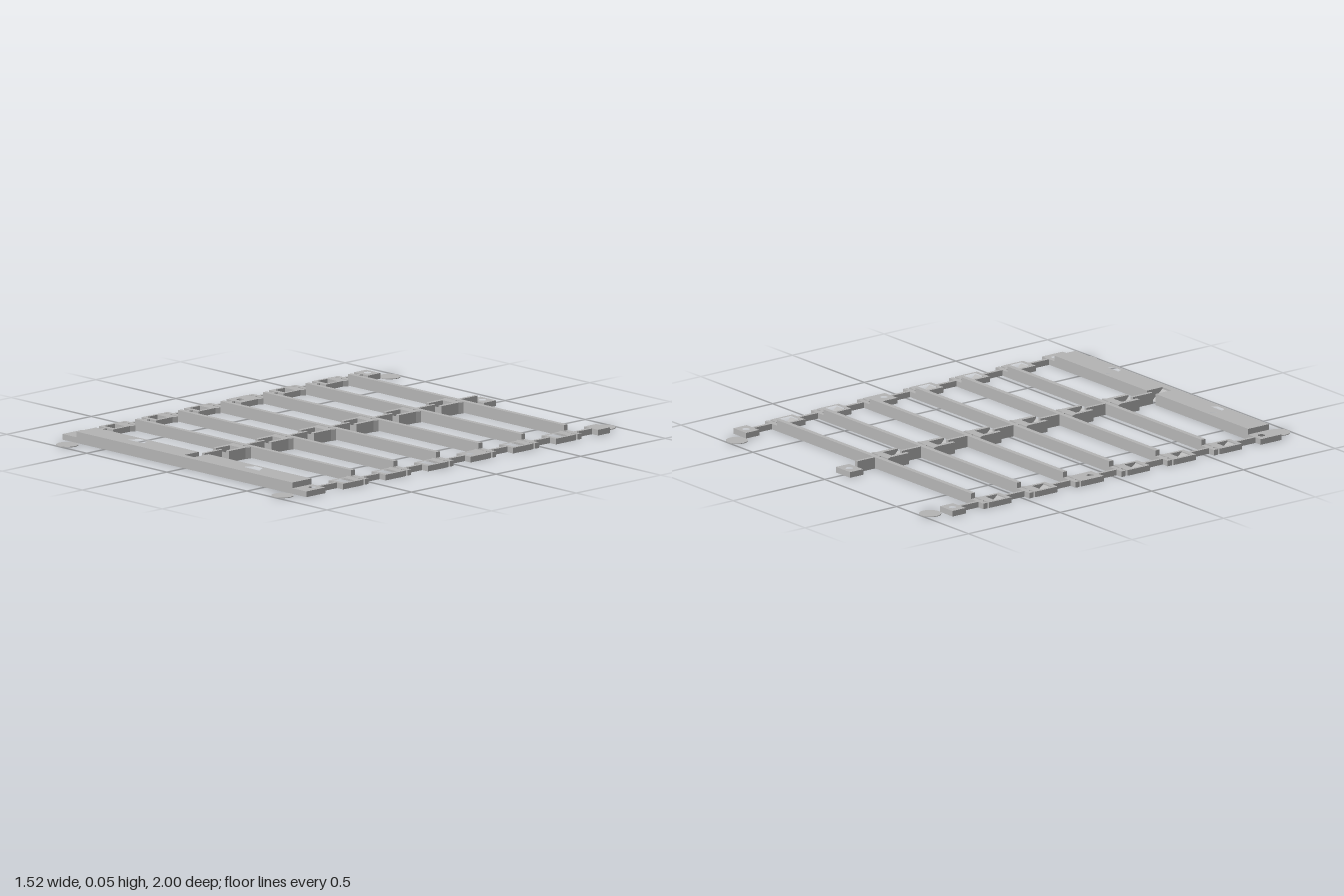
import * as THREE from 'three';

const LOW = 0.025, HIGH = 0.05; // heights of the outer and inner parts
const SIDE = 0.718;             // x of the outer rails

export function createModel() {
  const model = new THREE.Group();
  model.name = 'slattedFrame';
  const grey = new THREE.MeshStandardMaterial({ color: 0xb4b4b4 });
  grey.name = 'plain grey';

  const add = (name, geometry, x = 0, y = 0, z = 0) => {
    const mesh = new THREE.Mesh(geometry, grey);
    mesh.name = name;
    mesh.position.set(x, y, z);
    model.add(mesh);
    return mesh;
  };

  // closed outline from [x, z] points, drawn on the ground plane
  const outline = (pts, Type = THREE.Shape) =>
    new Type(pts.map(([x, z]) => new THREE.Vector2(x, -z)));
  const rect = (x0, x1, z0, z1) => [[x0, z0], [x1, z0], [x1, z1], [x0, z1]];
  const ring = (x, z, r, n) => Array.from({ length: n }, (_, i) => {
    const a = (i / n) * Math.PI * 2;
    return [x + r * Math.cos(a), z + r * Math.sin(a)];
  });
  // upright plate with holes
  const plate = (name, pts, holes, y0, y1) => {
    const shape = outline(pts);
    holes.forEach(h => shape.holes.push(outline(h, THREE.Path)));
    const g = new THREE.ExtrudeGeometry(shape, { depth: y1 - y0, bevelEnabled: false });
    g.rotateX(-Math.PI / 2);
    return add(name, g, 0, y0, 0);
  };
  // wedge rising towards the front
  const ramp = (name, x, width, z0, z1, height) => {
    const shape = new THREE.Shape([
      new THREE.Vector2(z0, 0), new THREE.Vector2(z1, 0), new THREE.Vector2(z1, height)]);
    const g = new THREE.ExtrudeGeometry(shape, { depth: width, bevelEnabled: false });
    g.rotateY(-Math.PI / 2);
    add(name, g, x + width / 2, 0, 0);
  };
  const rail = (name, x, height, z0, z1) =>
    add(name, new THREE.BoxGeometry(0.015, height, z1 - z0), x, height / 2, (z0 + z1) / 2);

  const barZ = Array.from({ length: 6 }, (_, i) => -0.72 + i * 0.2516);

  // slat outline: tall in the middle, low at both ends
  const slatShape = new THREE.Shape([
    [-0.76, 0], [0.76, 0], [0.76, LOW], [0.674, LOW],
    [0.674, HIGH], [-0.674, HIGH], [-0.674, LOW], [-0.76, LOW],
  ].map(p => new THREE.Vector2(...p)));

  barZ.forEach((z, i) => {
    const slat = new THREE.ExtrudeGeometry(slatShape, { depth: 0.022, bevelEnabled: false });
    add('slat', slat, 0, 0, z - 0.011);

    const a = z + 0.02, b = z + 0.142; // back and front of the clips

    // middle clip: a flared block with a slot open at the front
    plate('middleClip', [
      [-0.058, a], [0.058, a], [0.049, a + 0.022], [0.049, b], [0.03, b],
      [0.03, a + 0.04], [-0.03, a + 0.04], [-0.03, b], [-0.049, b], [-0.049, a + 0.022],
    ], [], 0, HIGH);
    ramp('middleClipRamp', 0, 0.06, a + 0.08, b, 0.042);

    // outer clips, the third pair drilled instead of slotted
    for (const s of [-1, 1]) {
      const pts = [[0.662, a], [0.76, a], [0.762, a + 0.02], [0.762, b], [0.673, b], [0.673, a + 0.022]]
        .map(([x, zz]) => [s * x, zz]);
      const hole = i === 2
        ? ring(s * SIDE, z + 0.103, 0.016, 24)
        : rect(s * SIDE - 0.031, s * SIDE + 0.031, a + 0.04, b - 0.02);
      plate('outerClip', pts, [hole], 0, LOW);
      if (i !== 2) ramp('outerClipRamp', s * SIDE, 0.062, a + 0.074, b - 0.02, 0.02);
    }

    // rail pieces between clips and slats
    const next = i < 5 ? barZ[i + 1] - 0.011 : 0.785;
    rail('middleRail', 0, HIGH, b - 0.005, next);
    rail('middleRail', 0, HIGH, z + 0.011, a);
    for (const s of [-1, 1]) {
      rail('outerRail', s * SIDE, LOW, b, next);
      rail('outerRail', s * SIDE, LOW, z + 0.011, a);
    }
  });

  // back tabs and the rail stubs holding them
  for (const s of [-1, 0, 1]) {
    const x = s * SIDE, w = s ? 0.044 : 0.049;
    plate('backTab', rect(x - w, x + w, -0.9, -0.828), [ring(x, -0.866, 0.016, 24)], 0, LOW);
    rail('backRail', x, s ? LOW : HIGH, -0.828, barZ[0] - 0.011);
  }

  // front beam: round holes below, hexagonal nut recesses above
  const beam = [
    [-0.674, 0.782], [-0.03, 0.782], [-0.03, 0.866], [0.03, 0.866],
    [0.03, 0.782], [0.674, 0.782], [0.674, 0.896], [-0.674, 0.896],
  ];
  plate('frontBeamBase', beam, [-0.36, 0.36].map(x => ring(x, 0.838, 0.028, 28)), 0, 0.03);
  plate('frontBeamTop', beam, [-0.36, 0.36].map(x => ring(x, 0.838, 0.048, 6)), 0.03, HIGH);
  ramp('frontBeamRamp', 0, 0.06, 0.81, 0.866, 0.042);
  for (const s of [-1, 1]) {
    plate('frontBeamEnd', rect(s * 0.717 - 0.044, s * 0.717 + 0.044, 0.782, 0.896),
      [ring(s * SIDE, 0.82, 0.016, 24)], 0, LOW);
  }

  // thin corner discs
  for (const x of [-0.672, 0.672]) for (const z of [-0.952, 0.952]) {
    add('cornerDisc', new THREE.CylinderGeometry(0.048, 0.048, 0.003, 40), x, 0.0015, z);
  }
  return model;
}
